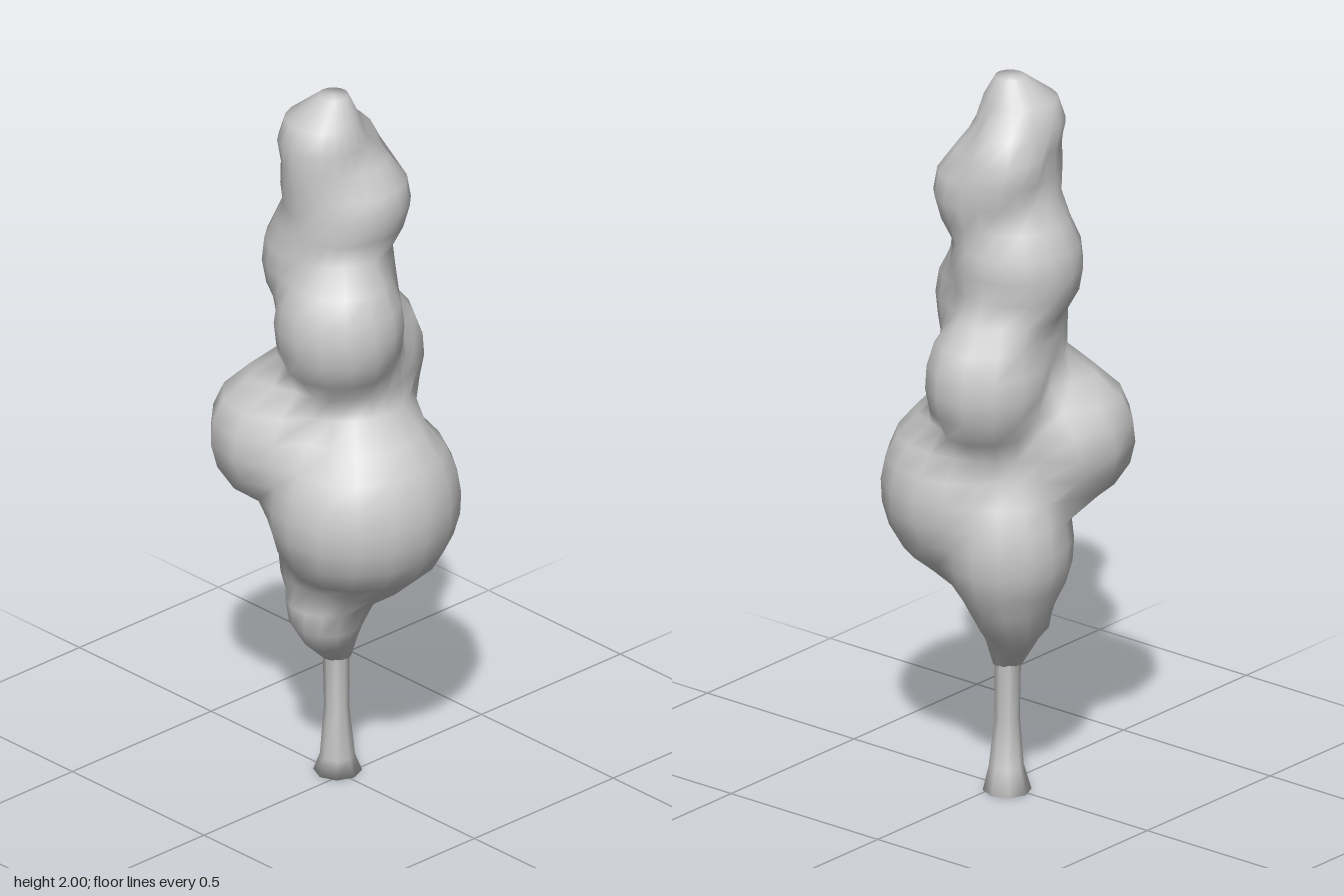
import * as THREE from 'three';

const material = new THREE.MeshStandardMaterial({ color: 0xcccccc });

// Clumps of leaves: centre x, y, z, then radii x, y, z
const CLUMPS = [
  [0.0, 0.84, 0.08, 0.268, 0.27, 0.242],    // big front clump
  [-0.1, 1.0, -0.13, 0.19, 0.2, 0.193],     // back, right-hand side
  [0.05, 0.72, -0.07, 0.175, 0.24, 0.168],  // low back
  [-0.06, 0.54, 0.0, 0.105, 0.15, 0.11],    // low front
  [0.04, 0.54, -0.08, 0.11, 0.13, 0.1],     // underside
  [0.11, 1.19, -0.05, 0.175, 0.21, 0.16],   // left-hand side
  [0.05, 1.4, -0.09, 0.117, 0.16, 0.117],   // left-hand back
  [-0.05, 1.36, 0.04, 0.172, 0.21, 0.172],  // middle front
  [0.01, 1.5, -0.065, 0.172, 0.2, 0.178],   // upper back
  [0.03, 1.69, 0.0, 0.158, 0.155, 0.158],   // upper
  [-0.05, 1.77, -0.03, 0.105, 0.19, 0.11],  // shoulder
  [0.06, 1.78, -0.07, 0.115, 0.13, 0.105],  // back shoulder
  [-0.04, 1.87, -0.035, 0.118, 0.12, 0.12]  // tip
];

// Axis of the crown and its inner thickness: y, x, z, radius
const CORE = [
  [0.35, -0.005, -0.02, 0.04], [0.46, -0.02, -0.03, 0.09], [0.6, 0, -0.02, 0.15],
  [0.85, 0, -0.01, 0.18], [1.1, 0.025, -0.015, 0.17], [1.25, 0.01, -0.015, 0.17],
  [1.4, -0.01, -0.02, 0.155], [1.52, -0.005, -0.025, 0.14], [1.65, 0.01, -0.015, 0.157],
  [1.76, 0.01, -0.015, 0.148], [1.82, -0.015, -0.035, 0.115],
  [1.93, -0.025, -0.025, 0.08], [2.0, -0.015, -0.02, 0.04]
];

function coreAt(y) {
  let i = 0;
  while (i < CORE.length - 2 && CORE[i + 1][0] < y) i++;
  const a = CORE[i], b = CORE[i + 1];
  const t = THREE.MathUtils.clamp((y - a[0]) / (b[0] - a[0]), 0, 1);
  return a.map((v, k) => THREE.MathUtils.lerp(v, b[k], t));
}

// Farthest point where a level ray from the axis leaves the clumps
function crownPoint(y, angle) {
  const [, ax, az, r0] = coreAt(y);
  const dx = Math.sin(angle), dz = Math.cos(angle);
  let reach = r0;
  for (const [cx, cy, cz, rx, ry, rz] of CLUMPS) {
    const h = 1 - ((y - cy) / ry) ** 2;
    if (h <= 0) continue;
    const px = (ax - cx) / rx, pz = (az - cz) / rz, ux = dx / rx, uz = dz / rz;
    const a = ux * ux + uz * uz, b = px * ux + pz * uz, c = px * px + pz * pz - h;
    const d = b * b - a * c;
    if (d > 0) reach = Math.max(reach, (-b + Math.sqrt(d)) / a);
  }
  return [ax + dx * reach, y, az + dz * reach];
}

// Closed skin over rings of points, capped at both ends, seam shared
function skin(rings) {
  const n = rings[0].length, pos = rings.flat(2), idx = [];
  for (let j = 0; j < rings.length - 1; j++) {
    for (let i = 0; i < n; i++) {
      const a = j * n + i, b = j * n + (i + 1) % n;
      idx.push(a, b, b + n, a, b + n, a + n);
    }
  }
  [0, rings.length - 1].forEach((j, end) => {
    const c = [0, 1, 2].map(k => rings[j].reduce((s, p) => s + p[k], 0) / n);
    const ci = pos.length / 3;
    pos.push(...c);
    for (let i = 0; i < n; i++) {
      const a = j * n + i, b = j * n + (i + 1) % n;
      if (end) idx.push(a, b, ci);
      else idx.push(b, a, ci);
    }
  });
  const g = new THREE.BufferGeometry();
  g.setAttribute('position', new THREE.Float32BufferAttribute(pos, 3));
  g.setIndex(idx);
  g.computeVertexNormals();
  return g;
}

const angles = n => Array.from({ length: n }, (_, i) => (i / n) * Math.PI * 2);

export function createModel() {
  const tree = new THREE.Group();
  tree.name = 'tree';

  // Lumpy crown of foliage
  const levels = 26;
  const crownRings = [];
  for (let j = 0; j <= levels; j++) {
    const y = 0.35 + (1.65 * j) / levels;
    crownRings.push(angles(20).map(a => crownPoint(y, a)));
  }
  const crown = new THREE.Mesh(skin(crownRings), material);
  crown.name = 'crown';
  tree.add(crown);

  // Slim trunk with a flared foot, oval along a diagonal: y, x, z, long and short radius
  const trunkRings = [
    [0, 0.013, -0.033, 0.066, 0.064], [0.06, -0.005, -0.015, 0.05, 0.046],
    [0.2, -0.003, -0.02, 0.044, 0.033], [0.36, -0.005, -0.02, 0.046, 0.035],
    [0.46, -0.015, -0.03, 0.06, 0.06]
  ].map(([y, x, z, ru, rv]) => angles(8).map(a => {
    const u = Math.sin(a) * ru * Math.SQRT1_2, v = Math.cos(a) * rv * Math.SQRT1_2;
    return [x + u + v, y, z - u + v];
  }));
  const trunk = new THREE.Mesh(skin(trunkRings), material);
  trunk.name = 'trunk';
  tree.add(trunk);

  return tree;
}
